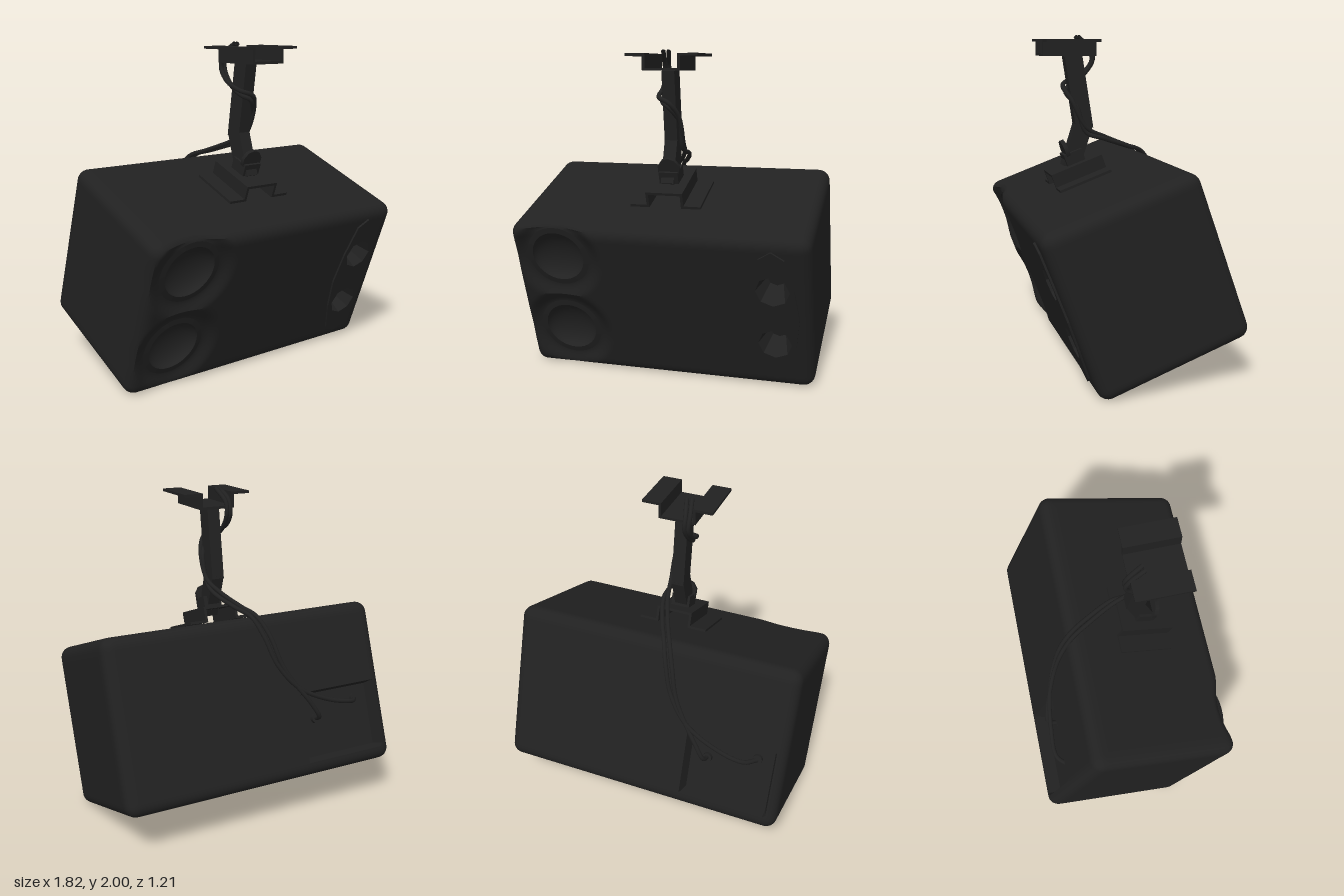
import * as THREE from 'three';
import { toCreasedNormals } from 'three/addons/utils/BufferGeometryUtils.js';

const W = 1.82, H = 1.03, D = 0.95, TILT = THREE.MathUtils.degToRad(20);
const HORNS = [[-0.63, 0.3], [-0.63, -0.225]];
const PORTS = [[0.69, 0.19], [0.69, -0.18]];
const smooth = THREE.MathUtils.smoothstep;

const black = new THREE.MeshStandardMaterial({ color: 0x212121 });
black.name = 'matte black';
const blackOpen = black.clone();
blackOpen.side = THREE.DoubleSide;

function add(parent, name, geometry, pos = [0, 0, 0], material = black) {
  const mesh = new THREE.Mesh(geometry, material);
  mesh.name = name;
  mesh.position.set(...pos);
  parent.add(mesh);
  return mesh;
}

// Rounded cabinet: a fine box whose edges are rounded and whose faces are dented
function cabinetGeometry() {
  const geo = new THREE.BoxGeometry(W, H, D, 91, 52, 48);
  const pos = geo.attributes.position;
  const half = new THREE.Vector3(W / 2, H / 2, D / 2), r = 0.07;
  const inner = half.clone().subScalar(r);
  const p = new THREE.Vector3(), c = new THREE.Vector3();
  for (let i = 0; i < pos.count; i++) {
    p.fromBufferAttribute(pos, i);
    const { x, y, z } = p;
    c.copy(p).clamp(inner.clone().negate(), inner);
    p.sub(c).setLength(r).add(c);
    // shallow basins with wells for the dishes, and wells for the ports
    let dent = 0;
    for (const [hx, hy] of HORNS) {
      const d = Math.hypot(x - hx, y - hy);
      dent = Math.max(dent, d < 0.165 ? 0.18 : 0.04 * (1 - smooth(d, 0.2, 0.3)));
    }
    for (const [hx, hy] of PORTS) if (Math.hypot(x - hx, y - hy) < 0.1) dent = 0.22;
    p.z -= dent * smooth(z, 0.3, D / 2);
    // terminal recess in the back
    if (z < -D / 2 + 0.001 && x > -0.835 && x < -0.3 && y > -0.43 && y < 0.0) p.z += 0.08;
    pos.setXYZ(i, p.x, p.y, p.z);
  }
  geo.deleteAttribute('uv');
  return toCreasedNormals(geo, 0.6);
}

// Hat-shaped mounting channel, flanges at y = 0
function hatGeometry(length) {
  const h = 0.1, w = 0.115, t = 0.016, f = 0.22;
  const pts = [[-f, 0], [-f, t], [-w, t], [-w, h], [w, h], [w, t], [f, t], [f, 0],
    [w - t, 0], [w - t, h - t], [t - w, h - t], [t - w, 0]].reverse();
  const shape = new THREE.Shape(pts.map(q => new THREE.Vector2(...q)));
  return new THREE.ExtrudeGeometry(shape, { depth: length, bevelEnabled: false }).translate(0, 0, -length / 2);
}

// Lathe turned to face +z
function frontLathe(points, sides) {
  return new THREE.LatheGeometry(points.map(q => new THREE.Vector2(...q)), sides).rotateX(Math.PI / 2);
}

// Square bar between two points in the plane x = 0
function bar(parent, name, [y0, z0], [y1, z1], w, d) {
  const mesh = add(parent, name, new THREE.BoxGeometry(w, Math.hypot(y1 - y0, z1 - z0), d),
    [-0.005, (y0 + y1) / 2, (z0 + z1) / 2]);
  mesh.rotation.x = Math.atan2(z1 - z0, y1 - y0);
}

function cable(parent, name, points) {
  const curve = new THREE.CatmullRomCurve3(points.map(q => new THREE.Vector3(...q)));
  add(parent, name, new THREE.TubeGeometry(curve, 110, 0.014, 8), [0, 0, 0], blackOpen);
}

export function createModel() {
  const model = new THREE.Group();
  model.name = 'mountedSpeaker';

  const speaker = new THREE.Group();
  speaker.name = 'speaker';
  speaker.position.y = 0.623;
  speaker.rotation.x = TILT;
  model.add(speaker);
  add(speaker, 'cabinet', cabinetGeometry());

  // Concave dishes
  for (const [x, y] of HORNS) {
    const profile = [[0.2, -0.003], [0.165, 0]];
    for (let i = 1; i <= 8; i++) {
      const a = (i / 8) * Math.PI / 2;
      profile.push([0.165 * Math.cos(a), -0.09 * Math.sin(a)]);
    }
    add(speaker, 'dish', toCreasedNormals(frontLathe(profile, 32), 0.5), [x, y, D / 2 - 0.036], blackOpen);
  }

  // Faceted port plate with two conical ports
  const half = [[0, 0.45], [0.075, 0.4], [0.125, 0.2], [0.15, 0], [0.125, -0.2], [0.075, -0.39], [0, -0.44]];
  const outline = [...half, ...half.slice(1, -1).reverse().map(([x, y]) => [-x, y])];
  const plate = new THREE.Shape(outline.map(q => new THREE.Vector2(...q)));
  for (const [, y] of PORTS) {
    const ring = [];
    for (let i = 0; i < 8; i++) {
      const a = i * Math.PI / 4;
      ring.push(new THREE.Vector2(0.1 * Math.sin(a), y + 0.1 * Math.cos(a)));
    }
    plate.holes.push(new THREE.Path(ring));
    const cone = toCreasedNormals(frontLathe([[0.1, 0], [0.055, -0.15], [0, -0.15]], 8), 0.3);
    add(speaker, 'port', cone, [0.69, y, D / 2 + 0.012], blackOpen);
  }
  add(speaker, 'portPlate', new THREE.ExtrudeGeometry(plate, { depth: 0.017, bevelEnabled: false }),
    [0.69, 0, D / 2 - 0.005]);

  // Cable sockets
  for (const [x, y] of [[-0.42, -0.18], [-0.73, -0.1]]) {
    add(speaker, 'socket', new THREE.CylinderGeometry(0.03, 0.03, 0.03, 12).rotateX(Math.PI / 2), [x, y, -0.405]);
  }

  // Mounting channels
  add(speaker, 'lowerBracket', hatGeometry(0.34), [0, 0.525, 0.005]);
  const top = add(model, 'ceilingBracket', hatGeometry(0.33), [0, 1.97, 0.255]);
  top.rotation.z = Math.PI;

  // Bent arm with its clamp bolt
  bar(model, 'upperArm', [1.875, 0.215], [1.42, 0.145], 0.08, 0.11);
  bar(model, 'lowerArm', [1.46, 0.145], [1.18, 0.235], 0.08, 0.11);
  const bolt = add(model, 'clampBolt', new THREE.CylinderGeometry(0.07, 0.07, 0.025, 10).rotateX(Math.PI / 2),
    [0, 1.285, 0.265]);
  bolt.rotation.x = TILT;
  const knuckle = add(model, 'knuckle', new THREE.BoxGeometry(0.12, 0.09, 0.12), [0, 1.24, 0.215]);
  knuckle.rotation.x = TILT;

  // Twin cables winding round the arm and down to the sockets
  cable(model, 'firstCable', [[-0.06, 1.985, 0.18], [-0.08, 1.92, 0.095], [-0.08, 1.84, 0.07], [-0.08, 1.76, 0.13],
    [-0.07, 1.71, 0.24], [0, 1.68, 0.275], [0.05, 1.6, 0.23], [0.055, 1.43, 0.14], [0.03, 1.37, 0.02],
    [-0.04, 1.3, -0.15], [-0.09, 1.26, -0.25], [-0.14, 1.15, -0.335], [-0.19, 0.98, -0.4], [-0.25, 0.87, -0.44],
    [-0.35, 0.73, -0.49], [-0.41, 0.63, -0.5], [-0.42, 0.59, -0.43]]);
  cable(model, 'secondCable', [[-0.03, 1.985, 0.17], [-0.055, 1.91, 0.085], [-0.055, 1.84, 0.07], [-0.06, 1.74, 0.14],
    [-0.05, 1.68, 0.23], [0, 1.65, 0.26], [0.05, 1.56, 0.2], [0.05, 1.4, 0.14], [0.06, 1.36, 0.03],
    [0, 1.3, -0.14], [-0.055, 1.26, -0.25], [-0.1, 1.15, -0.335], [-0.16, 0.98, -0.4], [-0.28, 0.83, -0.455],
    [-0.48, 0.73, -0.49], [-0.66, 0.685, -0.49], [-0.73, 0.666, -0.42]]);

  return model;
}
